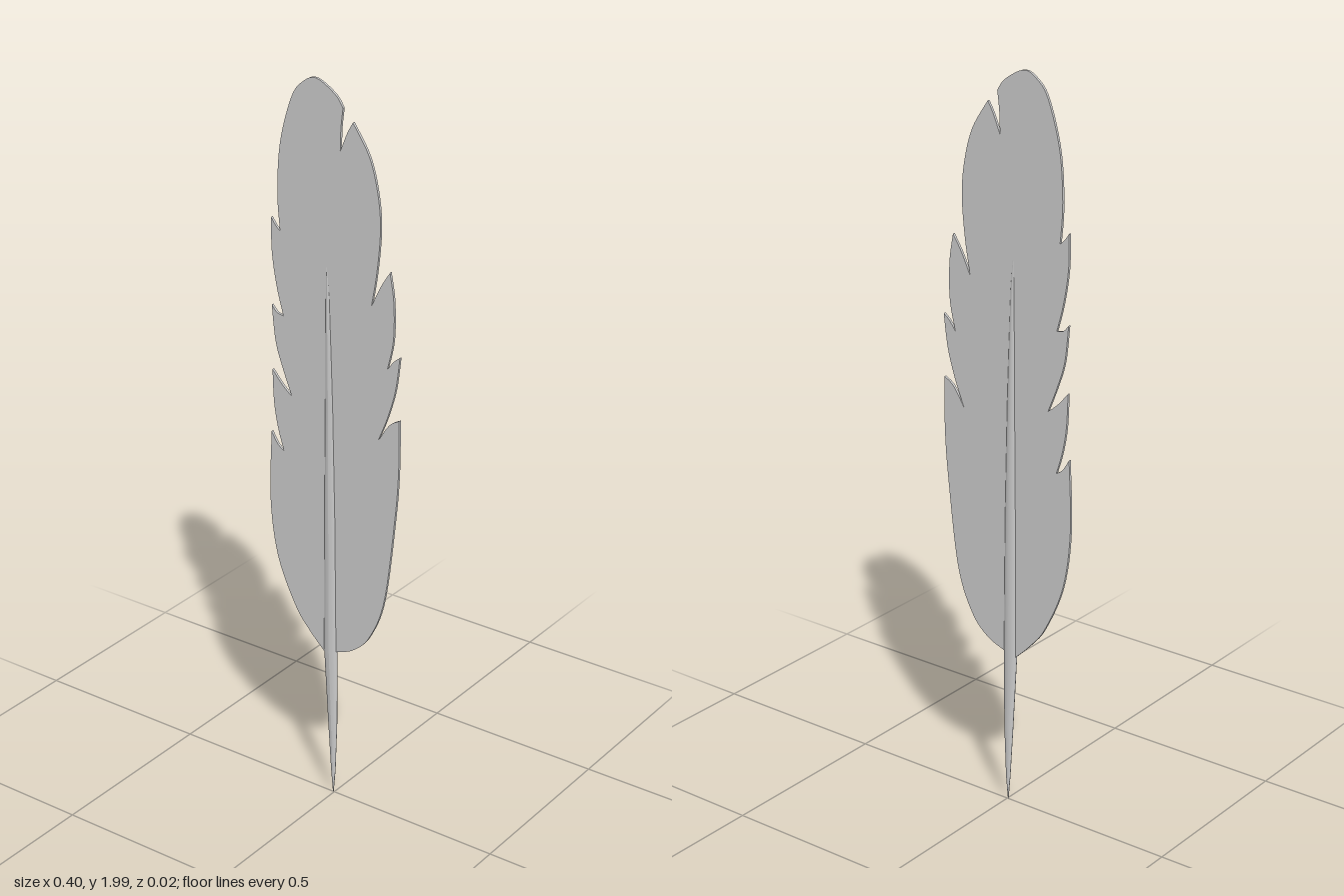
import * as THREE from 'three';

const material = new THREE.MeshStandardMaterial({ color: 0xcccccc });
const THICKNESS = 0.007;

// Each arc is one smooth run of the vane edge, between the tips and splits of the barbs.
const ARCS = [
  // right edge, from the quill upwards
  [[0.01, 0.45], [0.065, 0.475], [0.115, 0.53], [0.16, 0.65], [0.19, 0.89], [0.2, 1.03], [0.2, 1.17]],
  [[0.17, 1.15], [0.137, 1.1]],
  [[0.165, 1.17], [0.188, 1.25], [0.2, 1.34]],
  [[0.182, 1.325], [0.163, 1.3]],
  [[0.18, 1.38], [0.18, 1.48], [0.168, 1.555]],
  [[0.14, 1.51], [0.114, 1.455]],
  [[0.13, 1.55], [0.139, 1.66], [0.13, 1.75], [0.105, 1.835], [0.057, 1.91]],
  [[0.04, 1.88], [0.02, 1.832]],
  [[0.022, 1.89], [0.028, 1.94]],
  // rounded top and left edge, downwards
  [[0.005, 1.97], [-0.05, 2], [-0.09, 1.985], [-0.125, 1.94], [-0.16, 1.82], [-0.17, 1.69], [-0.163, 1.59]],
  [[-0.175, 1.6], [-0.19, 1.62]],
  [[-0.189, 1.53], [-0.175, 1.44], [-0.155, 1.365]],
  [[-0.175, 1.37], [-0.191, 1.387]],
  [[-0.18, 1.29], [-0.158, 1.22], [-0.13, 1.15]],
  [[-0.16, 1.175], [-0.191, 1.21]],
  [[-0.187, 1.12], [-0.175, 1.05], [-0.157, 0.99]],
  [[-0.177, 1.005], [-0.196, 1.035]],
  [[-0.202, 0.84], [-0.18, 0.68], [-0.125, 0.55], [-0.08, 0.49], [-0.03, 0.44]],
];

function createVane() {
  const shape = new THREE.Shape().moveTo(...ARCS[0][0]);
  ARCS.forEach((arc, i) => {
    const pts = (i === 0 ? arc.slice(1) : arc).map(p => new THREE.Vector2(...p));
    shape.splineThru(pts);
  });
  shape.closePath();
  const geometry = new THREE.ExtrudeGeometry(shape, { depth: THICKNESS, bevelEnabled: false, curveSegments: 5 });
  geometry.translate(0, 0, -THICKNESS / 2);
  const mesh = new THREE.Mesh(geometry, material);
  mesh.name = 'vane';
  return mesh;
}

// Shaft stations: height, centre x, half width, half depth
const STATIONS = [
  [0.01, -0.003, 0.001, 0.001],
  [0.08, -0.003, 0.007, 0.004],
  [0.23, -0.005, 0.014, 0.008],
  [0.45, -0.011, 0.021, 0.01],
  [0.83, -0.012, 0.018, 0.01],
  [1.15, -0.014, 0.013, 0.008],
  [1.44, -0.018, 0.007, 0.006],
  [1.58, -0.022, 0.001, 0.002],
];

// A unit tube whose rings are moved onto the stations
function createShaft() {
  const n = STATIONS.length - 1;
  const geometry = new THREE.CylinderGeometry(1, 1, n, 12, n);
  const pos = geometry.attributes.position;
  for (let i = 0; i < pos.count; i++) {
    const [y, cx, w, d] = STATIONS[Math.round(pos.getY(i) + n / 2)];
    pos.setXYZ(i, cx + pos.getX(i) * w, y, pos.getZ(i) * d);
  }
  geometry.computeVertexNormals();
  const mesh = new THREE.Mesh(geometry, material);
  mesh.name = 'shaft';
  return mesh;
}

export function createModel() {
  const feather = new THREE.Group();
  feather.name = 'feather';
  feather.add(createVane(), createShaft());
  return feather;
}
